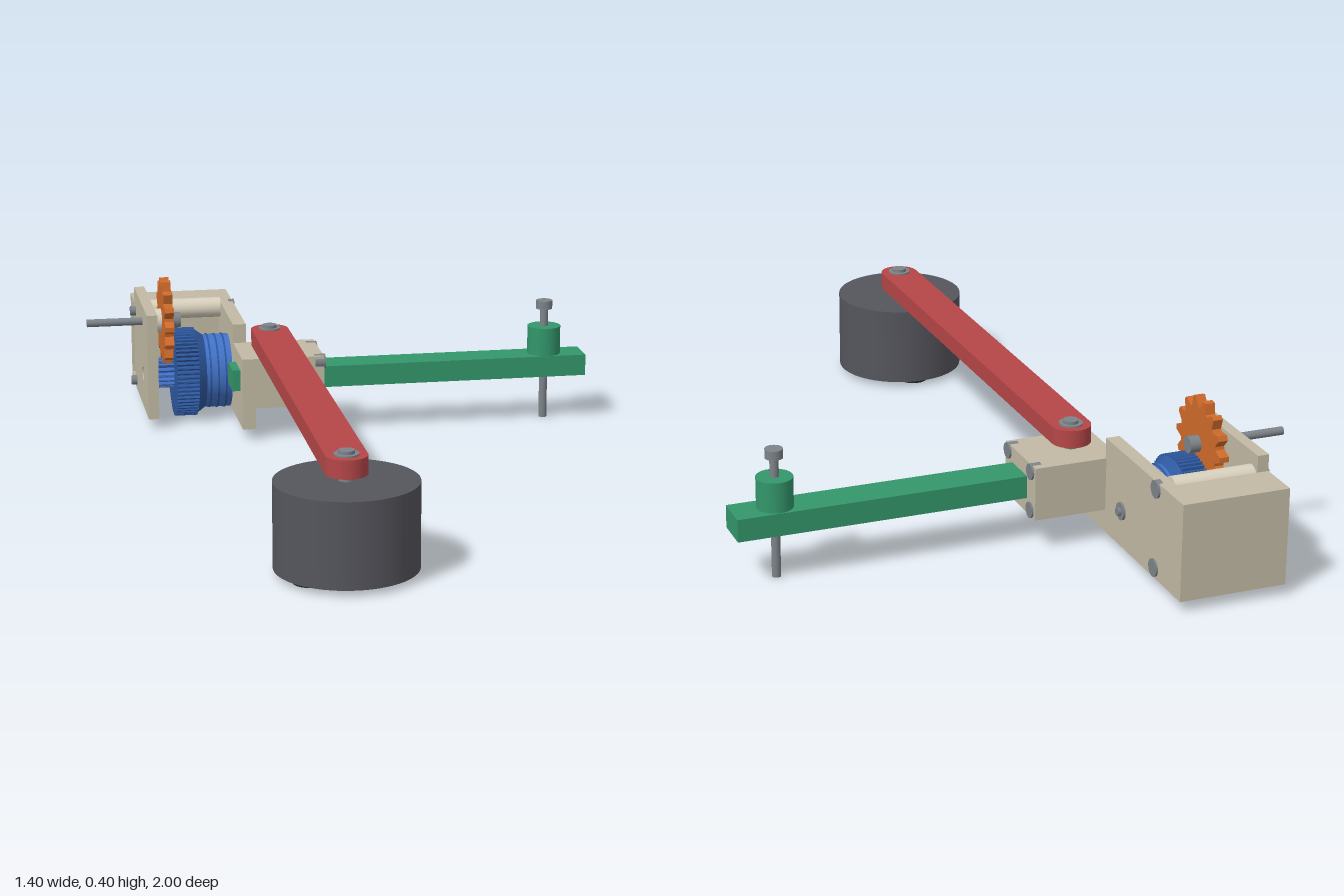
import * as THREE from 'three';

export function createModel() {
  const root = new THREE.Group();
  root.name = 'cableMeasuringMechanism';

  const mat = (name, color) => {
    const m = new THREE.MeshStandardMaterial({ color });
    m.name = name;
    return m;
  };
  const tan = mat('tan housing', 0xc2baa4);
  const cream = mat('cream spacer', 0xd8d0bd);
  const red = mat('red arm', 0xb54648);
  const green = mat('green arm', 0x33966b);
  const charcoal = mat('charcoal weight', 0x55555d);
  const black = mat('black rubber', 0x26262a);
  const steel = mat('steel', 0x7d8389);
  const blue = mat('blue spool', 0x4272c8);
  const navy = mat('dark blue gear', 0x2d589f);
  const orange = mat('orange sprocket', 0xcf6b2b);

  const add = (name, geo, material) => {
    const mesh = new THREE.Mesh(geo, material);
    mesh.name = name;
    root.add(mesh);
    return mesh;
  };
  // Box given by its limits on each axis
  const box = (name, m, x0, x1, y0, y1, z0, z1) =>
    add(name, new THREE.BoxGeometry(x1 - x0, y1 - y0, z1 - z0), m)
      .position.set((x0 + x1) / 2, (y0 + y1) / 2, (z0 + z1) / 2);
  // Cylinders along x, y and z; r1 is the radius at the far end
  const rodY = (name, m, x, z, y0, y1, r, seg = 32) =>
    add(name, new THREE.CylinderGeometry(r, r, y1 - y0, seg), m).position.set(x, (y0 + y1) / 2, z);
  const rodX = (name, m, y, z, x0, x1, r, r1 = r, seg = 32) =>
    add(name, new THREE.CylinderGeometry(r1, r, x1 - x0, seg).rotateZ(-Math.PI / 2), m)
      .position.set((x0 + x1) / 2, y, z);
  const rodZ = (name, m, x, y, z0, z1, r, seg = 32) =>
    add(name, new THREE.CylinderGeometry(r, r, z1 - z0, seg).rotateX(Math.PI / 2), m)
      .position.set(x, y, (z0 + z1) / 2);
  // Shape drawn in (-z, y), extruded along x from x0 to x1
  const extrudeX = (name, m, shape, x0, x1, y = 0, z = 0) =>
    add(name, new THREE.ExtrudeGeometry(shape, { depth: x1 - x0, bevelEnabled: false, curveSegments: 20 })
      .rotateY(Math.PI / 2), m).position.set(x0, y, z);
  const polygon = (pts) => new THREE.Shape(pts.map(([a, b]) => new THREE.Vector2(a, b)));
  // Toothed outline: each tooth has a root, flank and tip
  const gearShape = (teeth, rRoot, rTip, tip = 0.3) => {
    const pts = [];
    for (let i = 0; i < teeth; i++) {
      for (const [f, r] of [[-0.4, rRoot], [-tip / 2, rTip], [tip / 2, rTip], [0.4, rRoot]]) {
        const a = (i + f) / teeth * Math.PI * 2;
        pts.push([Math.cos(a) * r, Math.sin(a) * r]);
      }
    }
    return polygon(pts);
  };

  // Hanging weight with three feet
  const px = -0.205, wz = 0.82, pz = -0.45;
  rodY('weight', charcoal, px, wz, 0.015, 0.232, 0.178, 64);
  for (let i = 0; i < 3; i++) {
    const a = Math.PI / 6 + i * Math.PI * 2 / 3;
    rodY('weightFoot', black, px + Math.cos(a) * 0.115, wz + Math.sin(a) * 0.115, 0, 0.016, 0.04);
  }
  rodY('weightBottomScrew', steel, px, wz, 0.006, 0.016, 0.018);

  // Long arm with rounded ends, pinned at both ends
  const arm = new THREE.Shape();
  arm.absarc(px, -wz, 0.052, Math.PI, Math.PI * 2, false);
  arm.absarc(px, -pz, 0.052, 0, Math.PI, false);
  arm.closePath();
  add('longArm', new THREE.ExtrudeGeometry(arm, { depth: 0.047, bevelEnabled: false, curveSegments: 24 })
    .rotateX(-Math.PI / 2), red).position.y = 0.248;
  for (const z of [wz, pz]) {
    rodY('armPin', steel, px, z, 0.22, 0.307, 0.02);
    rodY('armWasher', steel, px, z, 0.29, 0.299, 0.031);
  }

  // Cross arm with boss and height screw
  box('crossArm', green, -0.318, 0.7, 0.13, 0.19, -0.5, -0.402);
  rodY('crossArmBoss', green, 0.588, pz, 0.18, 0.27, 0.047);
  rodY('heightScrew', steel, 0.588, pz, 0, 0.33, 0.0115, 20);
  rodY('heightScrewHead', steel, 0.588, pz, 0.32, 0.344, 0.023);

  // Clamp block with its bolts
  box('clampBlock', tan, -0.26, -0.065, 0.09, 0.232, -0.555, -0.357);
  for (const z of [-0.375, -0.525]) for (const y of [0.108, 0.213]) {
    rodX('clampBolt', steel, y, z, -0.09, -0.06, 0.021);
  }
  rodZ('thumbScrewShank', steel, -0.132, 0.162, -0.36, -0.33, 0.015);
  rodZ('thumbScrewHead', steel, -0.132, 0.162, -0.338, -0.305, 0.029);

  // Inner plate, stepped down where it carries the clamp
  extrudeX('innerPlate', tan, polygon([[0.357, 0.03], [1, 0.03], [1, 0.286], [0.55, 0.286],
    [0.55, 0.232], [0.357, 0.232]]), -0.296, -0.259);

  // Outer plate with an axle hole
  const outer = polygon([[0.515, 0.028], [0.885, 0.028], [0.885, 0.33], [0.515, 0.33]]);
  const hole = new THREE.Path();
  hole.absarc(0.655, 0.128, 0.02, 0, Math.PI * 2, true);
  outer.holes.push(hole);
  extrudeX('outerPlate', tan, outer, -0.544, -0.514);

  // Hollow back box, open at its outer end
  const tube = polygon([[0.885, 0.03], [1, 0.03], [1, 0.286], [0.885, 0.286]]);
  tube.holes.push(polygon([[0.903, 0.05], [0.903, 0.266], [0.982, 0.266], [0.982, 0.05]]));
  extrudeX('backBox', tan, tube, -0.544, -0.29);

  // Spacers joining the plates
  for (const y of [0.057, 0.267]) {
    rodX('plateSpacer', cream, y, -0.855, -0.515, -0.295, 0.029);
    rodX('spacerBolt', steel, y, -0.85, -0.56, -0.54, 0.014);
    rodX('spacerBoltHead', steel, y, -0.85, -0.27, -0.254, 0.023);
  }

  // Input shaft and sprocket
  const gz = -0.655, sy = 0.282, by = 0.128;
  rodX('inputShaft', steel, sy, gz, -0.702, -0.44, 0.011, 0.011, 20);
  rodX('shaftBearing', cream, sy, gz, -0.515, -0.49, 0.034);
  rodX('shaftCollar', steel, sy, gz, -0.465, -0.435, 0.022);
  extrudeX('sprocket', orange, gearShape(14, 0.098, 0.123, 0.25), -0.49, -0.464, sy, gz);

  // Spool: pinion, fine gear, taper and drum on one axle
  extrudeX('pinion', blue, gearShape(16, 0.034, 0.043), -0.506, -0.45, by, gz);
  extrudeX('fineGear', navy, gearShape(60, 0.12, 0.127, 0.35), -0.458, -0.395, by, gz);
  rodX('drumTaper', navy, by, gz, -0.395, -0.37, 0.122, 0.104, 48);
  rodX('drum', blue, by, gz, -0.372, -0.298, 0.105, 0.105, 48);
  for (let i = 0; i < 3; i++) {
    rodX('drumGroove', navy, by, gz, -0.362 + i * 0.022, -0.357 + i * 0.022, 0.107, 0.107, 48);
  }
  rodX('drumBearing', cream, by, gz, -0.325, -0.295, 0.06);
  rodX('spoolAxle', steel, by, gz, -0.535, -0.245, 0.011, 0.011, 20);
  rodX('spoolAxleNut', steel, by, gz, -0.262, -0.253, 0.023);

  return root;
}
